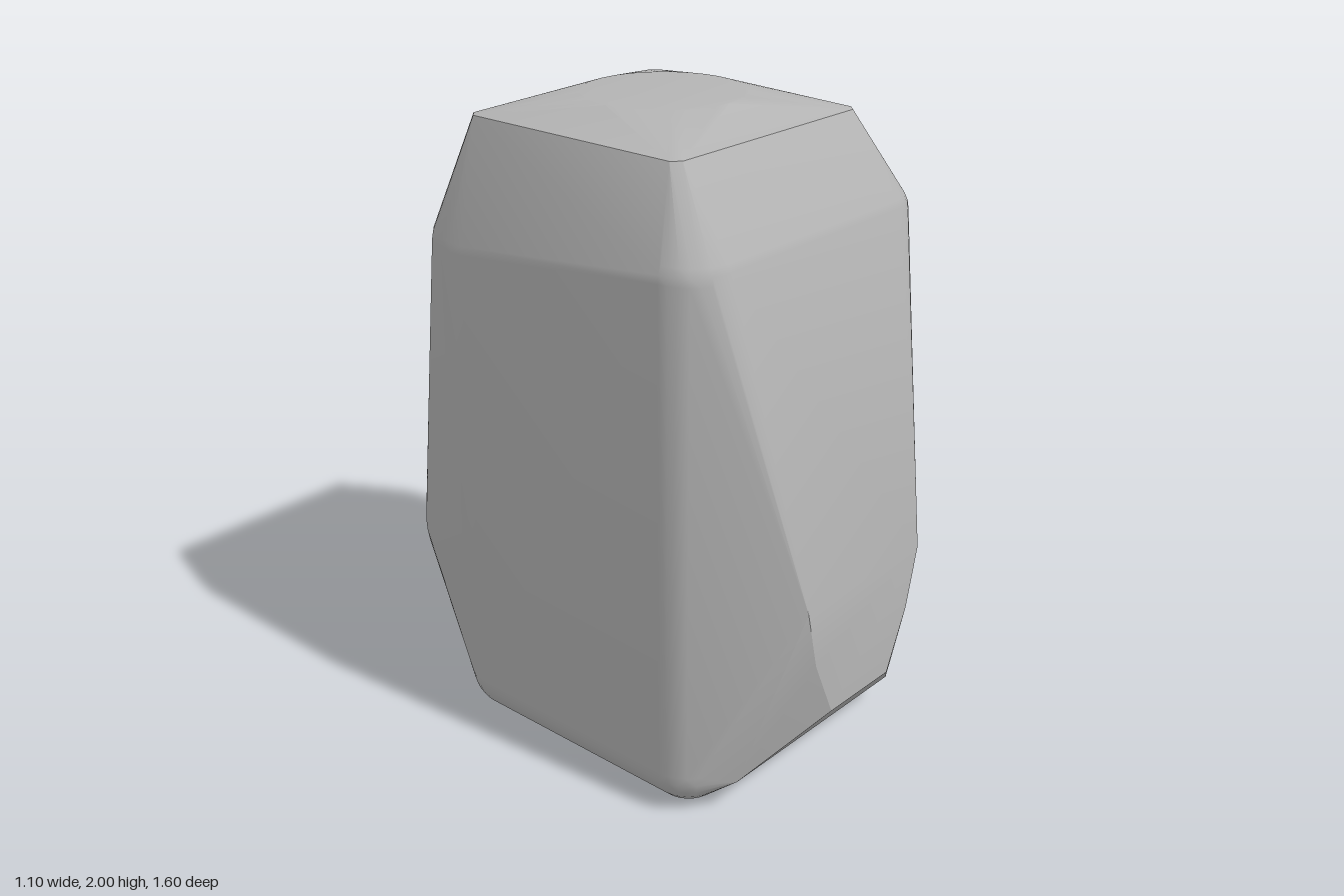
import * as THREE from 'three';
import { ConvexGeometry } from 'three/addons/geometries/ConvexGeometry.js';
import { toCreasedNormals } from 'three/addons/utils/BufferGeometryUtils.js';

export function createModel() {
  const group = new THREE.Group();
  const grey = new THREE.MeshStandardMaterial({ color: 0xb4b4b4 });
  grey.name = 'grey';

  const points = [];
  const add = (x, y, z) => points.push(new THREE.Vector3(x, y, z));

  // Rounded corner: one octant of an ellipsoid facing (sx, sy, sz)
  const corner = (cx, cy, cz, rx, ry, rz, sx, sy, sz) => {
    const n = 7;
    for (let i = 0; i <= n; i++) {
      const a = (i / n) * Math.PI / 2;
      for (let j = 0; j <= (i === n ? 0 : n); j++) {
        const b = (j / n) * Math.PI / 2;
        add(cx + sx * rx * Math.cos(a) * Math.cos(b),
          cy + sy * ry * Math.sin(a),
          cz + sz * rz * Math.cos(a) * Math.sin(b));
      }
    }
  };

  // Eight soft corners of the main block
  for (const s of [-1, 1]) {
    const cx = s < 0 ? -0.41 : 0.355;
    const rx = 0.14;
    corner(cx, 0.135, 0.46, rx, 0.135, 0.135, s, -1, 1);
    corner(cx, 0.135, -0.28, rx, 0.135, 0.14, s, -1, -1);
    corner(cx, 1.65, 0.46, rx, 0.11, 0.135, s, 1, 1);
    corner(cx, 1.56, -0.3, rx, 0.12, 0.23, s, 1, -1);
  }

  // Chamfered square at the shoulder, with a low round crown above it
  for (const [x, sx] of [[-0.43, 1], [0.37, -1]]) {
    for (const [z, sz] of [[-0.375, 1], [0.42, -1]]) {
      add(x + sx * 0.025, 1.94, z);
      add(x, 1.94, z + sz * 0.025);
    }
  }
  for (let i = 0; i < 32; i++) {
    const a = (i / 32) * Math.PI * 2;
    add(-0.03 + 0.243 * Math.cos(a), 2, 0.022 + 0.243 * Math.sin(a));
  }

  // Front nose plate and the chin edge below it, mirrored about x = -0.03
  for (const s of [-1, 1]) {
    add(-0.03 + s * 0.27, 0.69, 0.8);
    add(-0.03 + s * 0.225, 0.5, 0.8);
    add(-0.03 + s * 0.14, 0.31, 0.8);
    add(-0.025 + s * 0.38, 0.11, 0.64);
  }

  // Round back plate with a flattened top
  for (let i = 0; i < 48; i++) {
    const a = (i / 48) * Math.PI * 2;
    add(-0.03 + 0.29 * Math.cos(a), Math.min(0.725, 0.45 + 0.29 * Math.sin(a)), -0.8);
  }

  // Raised panel on the left side
  for (const y of [0.7, 1.725]) for (const z of [0.11, 0.385]) add(0.55, y, z);

  const hull = new ConvexGeometry(points);
  const body = new THREE.Mesh(toCreasedNormals(hull, 0.36), grey);
  body.name = 'body';
  group.add(body);
  return group;
}
